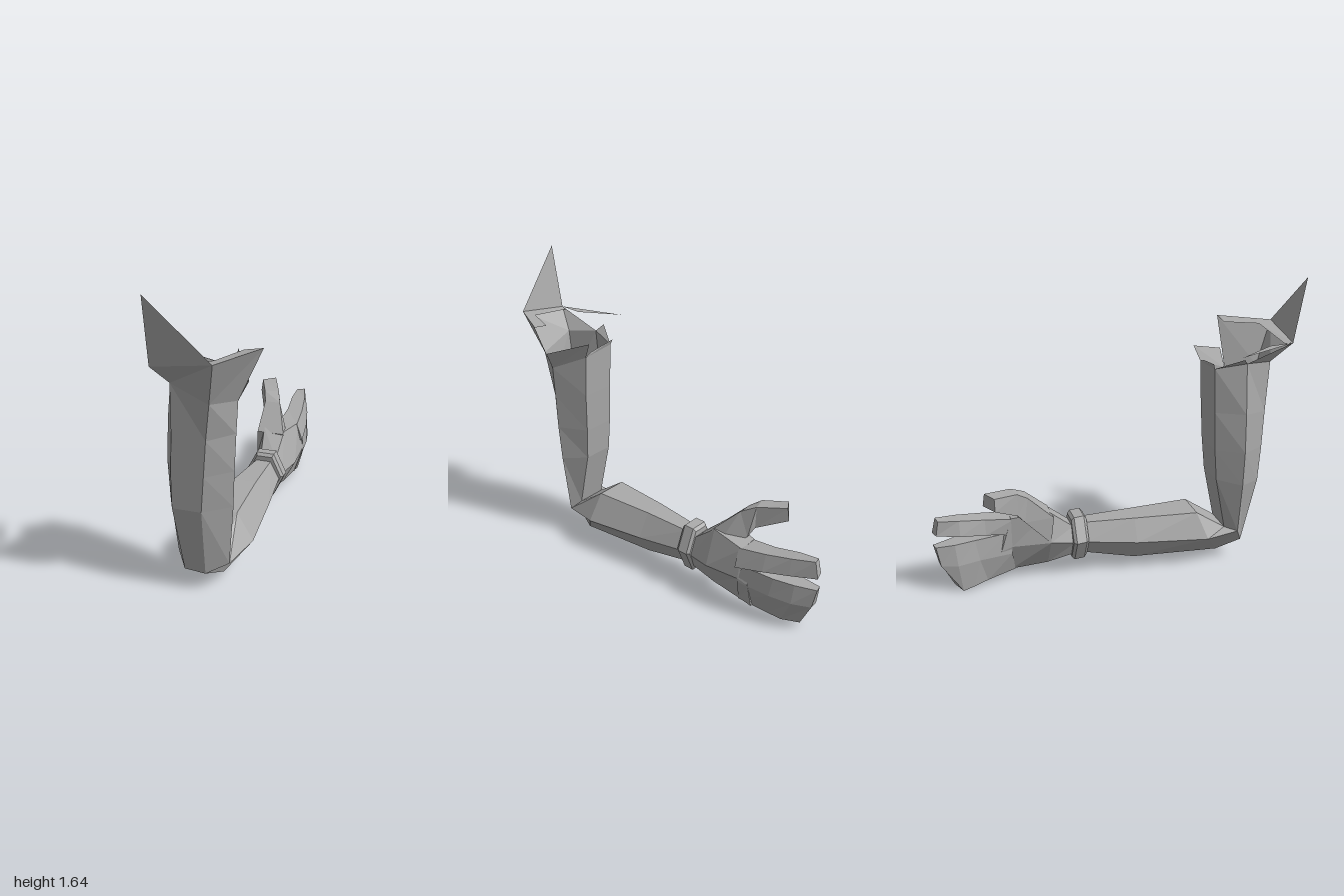
import * as THREE from 'three';

const skin = new THREE.MeshStandardMaterial({ color: 0xaaaaaa, flatShading: true, side: THREE.DoubleSide });
skin.name = 'plain grey';

// Mesh from polygons, each a fan of [x, y, z] corners
function polys(name, faces) {
  const pos = [];
  for (const f of faces)
    for (let i = 1; i < f.length - 1; i++) pos.push(...f[0], ...f[i], ...f[i + 1]);
  const g = new THREE.BufferGeometry();
  g.setAttribute('position', new THREE.Float32BufferAttribute(pos, 3));
  g.computeVertexNormals();
  const m = new THREE.Mesh(g, skin);
  m.name = name;
  return m;
}

// Skin over a list of rings with equal point counts
function loft(name, rings, capStart, capEnd) {
  const faces = [];
  for (let r = 0; r < rings.length - 1; r++) {
    const a = rings[r], b = rings[r + 1], n = a.length;
    for (let i = 0; i < n; i++) {
      const j = (i + 1) % n;
      faces.push([a[i], b[i], b[j], a[j]]);
    }
  }
  if (capStart) faces.push(rings[0]);
  if (capEnd) faces.push([...rings[rings.length - 1]].reverse());
  return polys(name, faces);
}

// Ring at one z from [x, y] pairs
const at = (z, pts) => pts.map(([x, y]) => [x, y, z]);

export function createModel() {
  const group = new THREE.Group();
  group.name = 'arm';

  // Ring order: front left, front right, right, back right, back left, left;
  // past the elbow the front corners become the underside.
  const shoulder = [[-0.11, 1.18, 0.84], [0.08, 1.1, 0.85], [0.17, 1.07, 0.7],
    [0.09, 1.15, 0.52], [-0.11, 1.17, 0.52], [-0.165, 1.2, 0.68]];
  const elbow = [[-0.11, 0.12, 0.72], [0, 0.11, 0.72], [0.11, 0.16, 0.67],
    [0.07, 0.21, 0.62], [-0.1, 0.21, 0.62], [-0.155, 0.2, 0.68]];
  const upper = [
    shoulder,
    [[-0.12, 0.9, 0.82], [0.05, 0.9, 0.82], [0.16, 0.9, 0.7], [0.09, 0.92, 0.53], [-0.11, 0.92, 0.53], [-0.19, 0.92, 0.68]],
    [[-0.135, 0.7, 0.805], [0.03, 0.7, 0.805], [0.15, 0.7, 0.7], [0.08, 0.7, 0.54], [-0.11, 0.7, 0.54], [-0.2, 0.7, 0.68]],
    [[-0.14, 0.5, 0.79], [0.01, 0.5, 0.79], [0.14, 0.5, 0.69], [0.07, 0.52, 0.555], [-0.11, 0.52, 0.555], [-0.19, 0.5, 0.68]],
    elbow,
  ];
  group.add(loft('upperArm', upper));

  // Forearm
  const wrist = [[0, 0.13], [0.09, 0.13], [0.13, 0.215], [0.08, 0.315], [0, 0.315], [-0.045, 0.215]];
  group.add(loft('forearm', [
    elbow,
    [[-0.04, 0.04, 0.6], [0.05, 0.045, 0.58], [0.17, 0.18, 0.46], [0.08, 0.325, 0.45], [-0.1, 0.325, 0.45], [-0.16, 0.18, 0.5]],
    [[-0.04, 0.075, 0.1], [0.07, 0.075, 0.1], [0.15, 0.195, 0.1], [0.075, 0.322, 0.1], [-0.05, 0.322, 0.1], [-0.105, 0.195, 0.1]],
    at(-0.18, wrist),
  ]));

  // Wrist band with chamfered edges
  const bandRing = (z, s, dy) => at(z, [[-0.005, -0.13], [0.095, -0.13], [0.155, 0],
    [0.095, 0.13], [-0.005, 0.13], [-0.07, 0]].map(([x, y]) => [0.045 + (x - 0.045) * s, 0.228 + dy + y * s]));
  group.add(loft('wristBand', [bandRing(-0.165, 0.88, 0), bandRing(-0.18, 1, 0),
    bandRing(-0.235, 1, -0.004), bandRing(-0.25, 0.88, -0.004)], true, true));

  // Palm
  group.add(loft('palm', [
    at(-0.24, [[0, 0.13], [0.1, 0.13], [0.13, 0.21], [0.09, 0.3], [0, 0.3], [-0.03, 0.21]]),
    at(-0.38, [[0.03, 0.085], [0.1, 0.085], [0.17, 0.22], [0.1, 0.41], [-0.02, 0.42], [-0.06, 0.25]]),
    at(-0.58, [[0.06, 0.06], [0.12, 0.065], [0.165, 0.22], [0.13, 0.38], [0.02, 0.39], [0.015, 0.22]]),
    [[0.05, 0.05, -0.64], [0.12, 0.05, -0.64], [0.16, 0.2, -0.64], [0.14, 0.3, -0.62], [0.03, 0.3, -0.62], [0.015, 0.2, -0.64]],
  ], true, true));

  // Thumb: outer top, inner top, inner bottom, outer bottom
  group.add(loft('thumb', [
    [[0.1, 0.4, -0.36], [-0.055, 0.4, -0.36], [-0.06, 0.25, -0.38], [0.13, 0.3, -0.4]],
    [[0.04, 0.535, -0.5], [-0.05, 0.535, -0.5], [-0.065, 0.4, -0.52], [0.04, 0.4, -0.55]],
    [[0.01, 0.575, -0.58], [-0.07, 0.575, -0.56], [-0.075, 0.45, -0.56], [0.01, 0.45, -0.575]],
    [[-0.05, 0.595, -0.73], [-0.12, 0.59, -0.69], [-0.13, 0.52, -0.69], [-0.05, 0.525, -0.74]],
  ], true, true));

  // Index finger
  group.add(loft('indexFinger', [
    at(-0.56, [[0.13, 0.38], [0.02, 0.385], [0.02, 0.29], [0.165, 0.28]]),
    at(-0.72, [[0.12, 0.4], [0.03, 0.4], [0.015, 0.315], [0.15, 0.31]]),
    at(-0.86, [[0.1, 0.42], [0.02, 0.42], [0, 0.335], [0.12, 0.33]]),
    [[0.07, 0.435, -0.98], [0.025, 0.43, -0.97], [0.02, 0.35, -0.985], [0.075, 0.345, -1]],
  ], true, true));

  // Remaining fingers held together
  group.add(loft('joinedFingers', [
    [[0.155, 0.3, -0.6], [0.03, 0.3, -0.6], [0.015, 0.18, -0.58], [0.055, 0.06, -0.56], [0.12, 0.065, -0.56], [0.165, 0.2, -0.58]],
    [[0.135, 0.285, -0.78], [0.03, 0.285, -0.78], [0.01, 0.17, -0.76], [0.03, 0.03, -0.72], [0.09, 0.03, -0.72], [0.145, 0.18, -0.76]],
    [[0.11, 0.28, -0.89], [0.02, 0.28, -0.89], [0, 0.16, -0.88], [0.01, 0.015, -0.8], [0.075, 0.015, -0.8], [0.12, 0.17, -0.88]],
    [[0.07, 0.275, -1], [0.03, 0.275, -0.99], [0.02, 0.165, -0.97], [0.005, 0.0, -0.86], [0.05, 0.025, -0.9], [0.075, 0.165, -0.975]],
  ], true, true));

  // Torn sleeve: flared panels and jagged shards around the open shoulder
  const [fl, fr, r, br, bl, l] = shoulder;
  const topL = [-0.165, 1.29, 0.94], topF = [0.135, 1.335, 0.95], topR = [0.29, 1.34, 0.695];
  const inL = [-0.15, 1.285, 0.9], inF = [0.115, 1.325, 0.87], inR = [0.2, 1.325, 0.7];
  const sideL = [-0.2, 1.235, 0.65];
  group.add(polys('sleeveFlare', [
    [fl, fr, topF, topL], [fr, r, topR, topF],
    [l, fl, topL], [bl, l, sideL],
    [r, br, [0.1, 1.24, 0.48], [0.22, 1.17, 0.69]],
    [br, bl, [-0.12, 1.2, 0.51], [0.05, 1.17, 0.52]],
  ]));
  group.add(polys('sleeveRim', [[topL, topF, inF, inL], [topF, topR, inR, inF]]));
  group.add(polys('tallShard', [[topL, topF, [-0.162, 1.64, 1]]]));
  group.add(polys('sideShard', [[topL, [-0.16, 1.285, 0.81], [-0.29, 1.28, 0.59]]]));

  return group;
}
